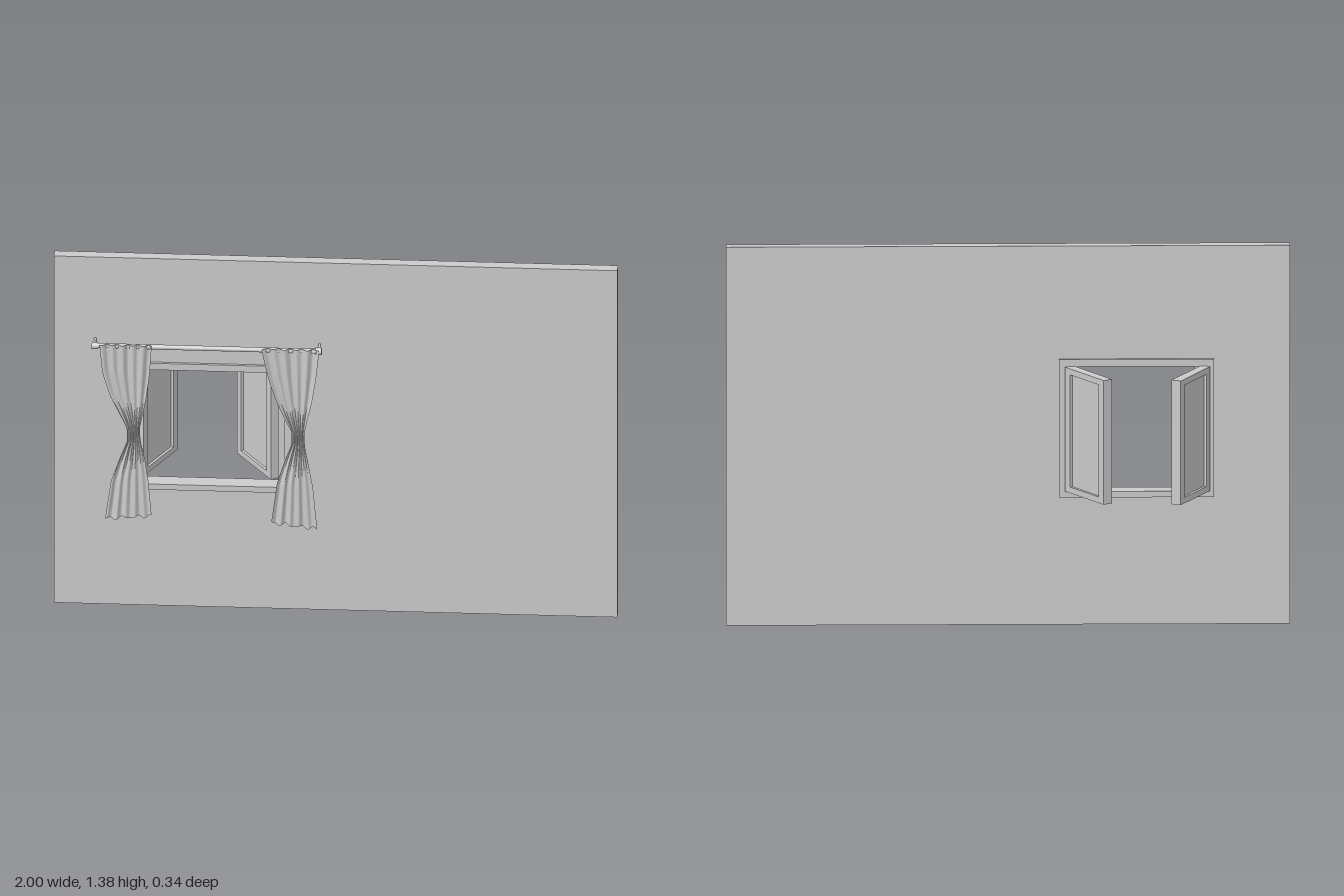
import * as THREE from 'three';

const grey = new THREE.MeshStandardMaterial({ color: 0xcccccc });
const cloth = new THREE.MeshStandardMaterial({ color: 0xcccccc, side: THREE.DoubleSide });

function add(parent, name, geometry, x = 0, y = 0, z = 0, material = grey) {
  const mesh = new THREE.Mesh(geometry, material);
  mesh.name = name;
  mesh.position.set(x, y, z);
  parent.add(mesh);
  return mesh;
}

// Rectangular slab with a rectangular hole; rects are [x0, y0, x1, y1]
function pierced([x0, y0, x1, y1], [a0, b0, a1, b1], depth) {
  const shape = new THREE.Shape();
  shape.moveTo(x0, y0).lineTo(x1, y0).lineTo(x1, y1).lineTo(x0, y1).closePath();
  const hole = new THREE.Path();
  hole.moveTo(a0, b0).lineTo(a0, b1).lineTo(a1, b1).lineTo(a1, b0).closePath();
  shape.holes.push(hole);
  return new THREE.ExtrudeGeometry(shape, { depth, bevelEnabled: false });
}

// Casement sash swung from its hinge line to a free end (plan positions in x, z)
function makeSash(name, hinge, end) {
  const sash = new THREE.Group();
  sash.name = name;
  const dx = end[0] - hinge[0], dz = end[1] - hinge[1];
  const width = Math.hypot(dx, dz), height = 0.453, t = 0.036, bx = 0.031, by = 0.022;
  add(sash, 'sashFrame', pierced([0, 0, width, height], [bx, by, width - bx, height - by], t), 0, 0, -t / 2);
  add(sash, 'sashPanel', new THREE.BoxGeometry(width - 2 * bx, height - 2 * by, 0.016), width / 2, height / 2, 0);
  sash.position.set(hinge[0], 0.49, hinge[1]);
  sash.rotation.y = Math.atan2(-dz, dx);
  return sash;
}

// Smooth edge position at height y from keys [y, leftX, rightX], listed top to bottom
function edges(keys, y) {
  let i = 0;
  while (i < keys.length - 2 && y < keys[i + 1][0]) i++;
  const [a, b] = [keys[i], keys[i + 1]];
  const k = THREE.MathUtils.clamp((a[0] - y) / (a[0] - b[0]), 0, 1);
  return [a[1] + (b[1] - a[1]) * k, a[2] + (b[2] - a[2]) * k];
}

// Pleated cloth gathered at the waist
function makeCurtain(keys, hemTilt, phase) {
  const geo = new THREE.PlaneGeometry(1, 1, 72, 40);
  const pos = geo.attributes.position;
  const top = keys[0][0], bottom = keys[keys.length - 1][0];
  for (let i = 0; i < pos.count; i++) {
    const u = pos.getX(i) + 0.5, v = 0.5 - pos.getY(i);
    const y = top + (bottom - top) * v;
    const [l, r] = edges(keys, y);
    const spread = Math.min(1, Math.abs(y - 0.705) / 0.25);
    const wave = Math.sin(u * Math.PI * 10 + phase) + 0.3 * Math.sin(u * 17 + v * 3 + phase);
    const hem = v * v * (hemTilt * (u - 0.5) + 0.005 * Math.sin(u * 20 + phase));
    pos.setXYZ(i, l + (r - l) * u, y + hem, 0.162 + (0.0035 + 0.0035 * spread) * wave / 1.2);
  }
  geo.computeVertexNormals();
  return geo;
}

export function createModel() {
  const model = new THREE.Group();
  model.name = 'wallWithWindow';

  // Wall and window surround
  const opening = [-0.705, 0.487, -0.205, 0.942];
  add(model, 'wall', pierced([-1, 0, 1, 1.38], [-0.72, 0.475, -0.19, 0.957], 0.041), 0, 0, 0.066);
  add(model, 'windowFrame', pierced([-0.73, 0.465, -0.18, 0.968], opening, 0.062), 0, 0, 0.055);

  // Open sashes
  model.add(makeSash('rightSash', [-0.7, 0.055], [-0.592, -0.16]));
  model.add(makeSash('leftSash', [-0.217, 0.055], [-0.35, -0.147]));

  // Curtain rod, end caps and wall brackets
  const rodY = 1.05, rodZ = 0.15;
  const rod = add(model, 'curtainRod', new THREE.CylinderGeometry(0.009, 0.009, 0.78, 20), -0.455, rodY, rodZ);
  rod.rotation.z = Math.PI / 2;
  for (const side of [-1, 1]) {
    const cap = add(model, 'rodEnd', new THREE.CylinderGeometry(0.013, 0.013, 0.022, 20), -0.455 + side * 0.397, rodY, rodZ);
    cap.rotation.z = Math.PI / 2;
    add(model, 'rodBracket', new THREE.BoxGeometry(0.008, 0.02, 0.045), -0.455 + side * 0.398, rodY - 0.001, 0.129);
  }

  // Curtains
  const rightKeys = [
    [1.06, -0.835, -0.65], [0.95, -0.825, -0.657], [0.86, -0.798, -0.668], [0.78, -0.76, -0.682],
    [0.73, -0.737, -0.692], [0.68, -0.737, -0.69], [0.61, -0.765, -0.675], [0.52, -0.795, -0.662], [0.375, -0.815, -0.65],
  ];
  const leftKeys = [
    [1.06, -0.26, -0.055], [0.95, -0.237, -0.066], [0.86, -0.21, -0.08], [0.78, -0.177, -0.098],
    [0.73, -0.153, -0.108], [0.68, -0.153, -0.106], [0.61, -0.178, -0.093], [0.52, -0.205, -0.077], [0.358, -0.225, -0.062],
  ];
  add(model, 'rightCurtain', makeCurtain(rightKeys, 0.015, 0.4), 0, 0, 0, cloth);
  add(model, 'leftCurtain', makeCurtain(leftKeys, -0.02, 1.7), 0, 0, 0, cloth);

  return model;
}
